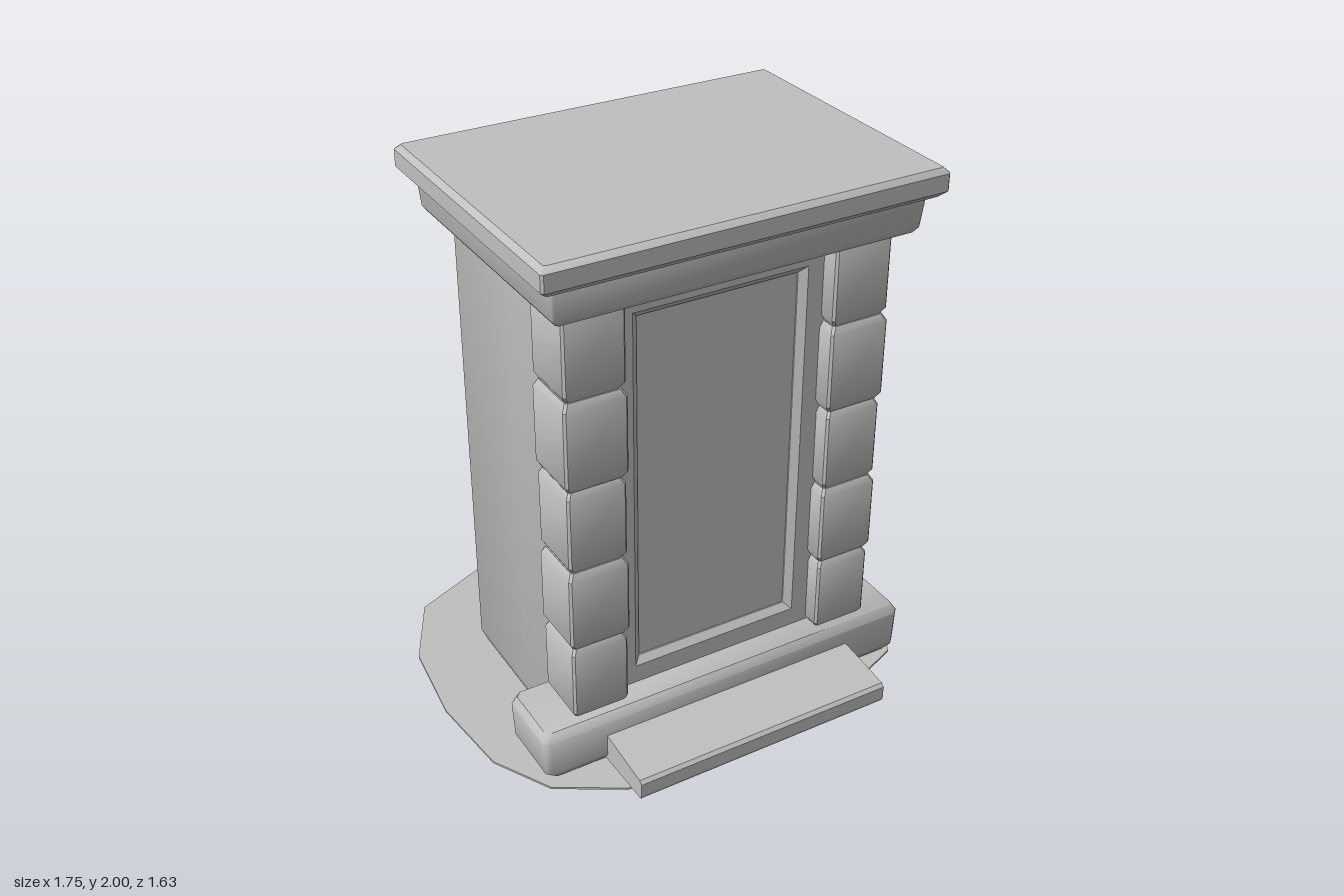
import * as THREE from 'three';
import { toCreasedNormals } from 'three/addons/utils/BufferGeometryUtils.js';

// Closed convex solid from stacked rings of [x, y, z] points (counter-clockwise from above)
function loft(rings, crease) {
  const n = rings[0].length;
  const last = (rings.length - 1) * n;
  const index = [];
  for (let r = 0; r < rings.length - 1; r++) {
    for (let i = 0; i < n; i++) {
      const a = r * n + i;
      const b = r * n + ((i + 1) % n);
      index.push(a, b, b + n, a, b + n, a + n);
    }
  }
  for (let i = 1; i < n - 1; i++) {
    index.push(last, last + i, last + i + 1);
    index.push(0, i + 1, i);
  }
  const geometry = new THREE.BufferGeometry();
  geometry.setAttribute('position', new THREE.Float32BufferAttribute(rings.flat(2), 3));
  geometry.setIndex(index);
  return toCreasedNormals(geometry, crease);
}

// Rectangular ring with a small corner cut c
function rect(y, hw, back, front, c = 0.008) {
  return [
    [-hw + c, y, front], [hw - c, y, front], [hw, y, front - c], [hw, y, back + c],
    [hw - c, y, back], [-hw + c, y, back], [-hw, y, back + c], [-hw, y, front - c],
  ];
}

export function createModel() {
  const model = new THREE.Group();
  model.name = 'monument';
  const stone = new THREE.MeshStandardMaterial({ color: 0xc0c0c0 });
  stone.name = 'stone grey';

  const building = new THREE.Group();
  building.name = 'building';
  building.position.set(-0.01, 0, 0.045);
  building.rotation.y = -0.166;
  model.add(building);

  const add = (name, geometry, parent = building) => {
    const mesh = new THREE.Mesh(geometry, stone);
    mesh.name = name;
    parent.add(mesh);
    return mesh;
  };

  // Thin irregular oval of ground, independent of the building's turn
  const outline = [
    [-0.88, 0.15], [-0.8, 0.38], [-0.6, 0.55], [-0.3, 0.66], [0, 0.69], [0.35, 0.66],
    [0.62, 0.6], [0.77, 0.41], [0.85, 0.08], [0.87, -0.24], [0.78, -0.52], [0.5, -0.69],
    [0.12, -0.78], [-0.27, -0.82], [-0.59, -0.74], [-0.77, -0.5], [-0.86, -0.18],
  ];
  add('groundPlate', loft([0, 0.008].map((y) => outline.map(([x, z]) => [x, y, z])), 0.6), model);

  // Body with softened back corners, narrowing toward the pillars
  const half = [[0.54, 0.3], [0.555, 0.2], [0.575, 0.1], [0.587, 0], [0.587, -0.39], [0.55, -0.43]];
  const plan = [...half, ...half.map(([x, z]) => [-x, z]).reverse()];
  const bodyRing = (y, s) => plan.map(([x, z]) => [x * s, y, z * s]);
  add('body', loft([bodyRing(0.008, 0.97), bodyRing(0.05, 1), bodyRing(1.8, 1)], 0.9));

  // Front wall with a bevelled opening
  const wall = new THREE.Shape();
  wall.moveTo(-0.42, 0.1).lineTo(0.42, 0.1).lineTo(0.42, 1.8).lineTo(-0.42, 1.8).closePath();
  const hole = new THREE.Path();
  hole.moveTo(-0.325, 0.29).lineTo(-0.325, 1.675).lineTo(0.325, 1.675).lineTo(0.325, 0.29).closePath();
  wall.holes.push(hole);
  const wallGeometry = new THREE.ExtrudeGeometry(wall, {
    depth: 0.06, bevelThickness: 0.022, bevelSize: 0.025, bevelSegments: 1,
  });
  add('doorFrame', wallGeometry).position.z = 0.263;

  // Recessed door panel
  add('doorPanel', new THREE.BoxGeometry(0.64, 1.4, 0.05)).position.set(0, 0.98, 0.293);

  // Block pillars on both sides of the door
  const joints = [0.21, 0.51, 0.82, 1.135, 1.46, 1.78];
  const swell = [0, 0.006, 0.002, 0.008, 0.004];
  for (const side of [-1, 1]) {
    const pillar = new THREE.Group();
    pillar.name = side > 0 ? 'leftPillar' : 'rightPillar';
    building.add(pillar);
    swell.forEach((s, i) => {
      const [y0, y1] = [joints[i], joints[i + 1]];
      const w = 0.105 + s;
      const f = 0.41 + s;
      const rings = [
        rect(y0, w - 0.014, 0.21, f - 0.014), rect(y0 + 0.025, w, 0.2, f),
        rect(y1 - 0.025, w, 0.2, f), rect(y1, w - 0.014, 0.21, f - 0.014),
      ];
      add('pillarBlock', loft(rings, 0.6), pillar).position.x = side * 0.494;
    });
  }

  // Plinth under the pillars
  add('plinth', loft([
    rect(0.02, 0.705, 0.19, 0.435, 0.02), rect(0.05, 0.73, 0.18, 0.455, 0.02),
    rect(0.19, 0.738, 0.18, 0.455, 0.02), rect(0.22, 0.72, 0.19, 0.435, 0.02),
  ], 0.9));

  // Sloping step in front
  const profile = new THREE.Shape();
  profile.moveTo(0.42, 0.025).lineTo(0.685, 0.035).lineTo(0.692, 0.05);
  profile.lineTo(0.692, 0.1).lineTo(0.68, 0.112).lineTo(0.42, 0.138).closePath();
  const stepGeometry = new THREE.ExtrudeGeometry(profile, { depth: 1, bevelEnabled: false });
  stepGeometry.rotateY(-Math.PI / 2).translate(0.5, 0, 0);
  add('step', stepGeometry);

  // Cornice and roof slab
  add('cornice', loft([
    rect(1.77, 0.645, -0.467, 0.467), rect(1.79, 0.66, -0.48, 0.48),
    rect(1.88, 0.668, -0.488, 0.488), rect(1.91, 0.672, -0.49, 0.49),
  ], 0.9));
  add('roofSlab', loft([
    rect(1.9, 0.698, -0.513, 0.513), rect(1.922, 0.72, -0.535, 0.535),
    rect(1.982, 0.72, -0.535, 0.535), rect(2, 0.702, -0.517, 0.517),
  ], 0.6));

  return model;
}
